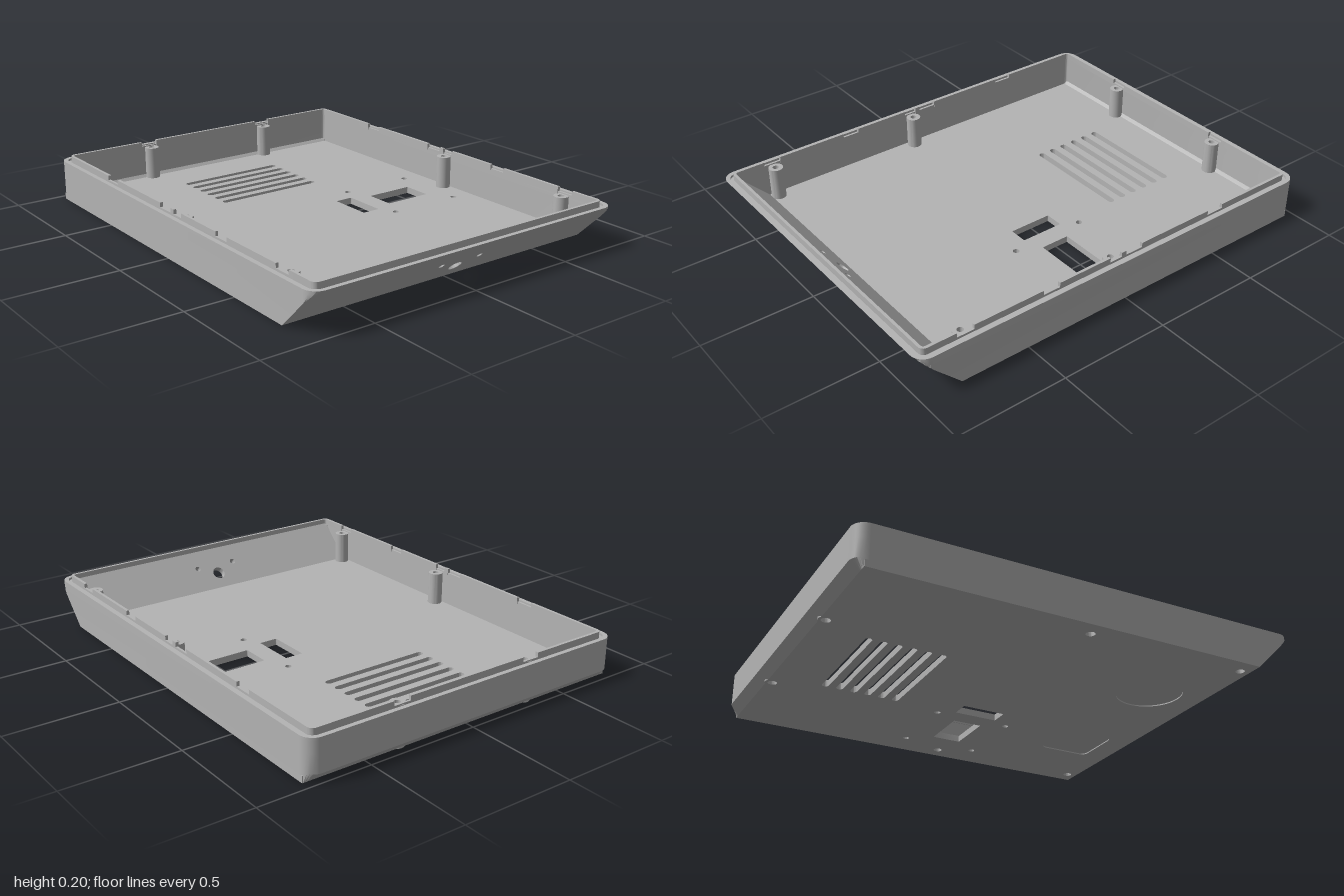
import * as THREE from 'three';
import { toCreasedNormals } from 'three/addons/utils/BufferGeometryUtils.js';

const CX = 0.94, CZ = 0.72;            // centres of the rounded corners
const RIM = 0.185, FLOOR = 0.03;       // rim height and floor thickness
const casing = new THREE.MeshStandardMaterial({ color: 0xb4b4b4, side: THREE.DoubleSide });
casing.name = 'casing grey';

function part(name, geometry, crease = 0.5) {
  const mesh = new THREE.Mesh(crease ? toCreasedNormals(geometry, crease) : geometry, casing);
  mesh.name = name;
  return mesh;
}

function arc(cx, cy, r, a0, a1, steps = 8) {
  return Array.from({ length: steps + 1 }, (_, i) => {
    const a = a0 + (a1 - a0) * i / steps;
    return new THREE.Vector2(cx + r * Math.cos(a), cy + r * Math.sin(a));
  });
}

// Closed outline of a rectangle with rounded corners
function rounded(cx, cy, hx, hy, r) {
  return [[1, 1], [-1, 1], [-1, -1], [1, -1]].flatMap(([sx, sy], k) =>
    arc(cx + sx * (hx - r), cy + sy * (hy - r), r, k * Math.PI / 2, (k + 1) * Math.PI / 2));
}

const circle = (x, y, r) => new THREE.Path().absarc(x, y, r, 0, Math.PI * 2);

// Horizontal slab from an outline in x and z
function slab(shape, y0, height) {
  return new THREE.ExtrudeGeometry(shape, { depth: height, bevelEnabled: false, curveSegments: 24 })
    .rotateX(Math.PI / 2).translate(0, y0 + height, 0);
}

// Walls: one loft up the outside, over the grooved rim and down the inside
function wallGeometry() {
  const rings = [];
  for (const y of [0, 0.04, 0.125, 0.14, 0.155, 0.17, RIM])
    rings.push({ side: 'outer', r: 0.06, y, lo: -0.96 - y, hi: 0.815 + y });
  for (const [r, y] of [[0.04, RIM], [0.04, 0.175], [0.025, 0.175], [0.025, RIM]])
    rings.push({ side: 'rim', r, y, lo: -2, hi: 2 });
  for (const y of [RIM, 0.17, 0.155, 0.043, FLOOR])
    rings.push({ side: 'inner', r: 0.015, y, lo: -0.912 - y, hi: 0.77 + y });

  const pos = [], index = [];
  for (const { r, y, lo, hi } of rings)
    for (const p of rounded(0, 0, CX + r, CZ + r, r))
      pos.push(THREE.MathUtils.clamp(p.x, lo, hi), y, p.y);
  const n = pos.length / 3 / rings.length;
  for (let i = 0; i < rings.length - 1; i++) {
    const sloped = rings[i].side !== 'rim' && rings[i].side === rings[i + 1].side;
    for (let j = 0; j < n; j++) {
      if (sloped && j === n - 1) continue;   // left open for the pierced sloping panel
      const a = i * n + j, b = i * n + (j + 1) % n;
      index.push(a, a + n, b, a + n, b + n, b);
    }
  }
  const g = new THREE.BufferGeometry();
  g.setAttribute('position', new THREE.Float32BufferAttribute(pos, 3));
  g.setIndex(index);
  return g;
}

// Sloping end panel: two faces joined by the bores of its three holes
function slopingPanel() {
  const group = new THREE.Group();
  group.name = 'slopingPanel';
  const d = 0.045 * Math.SQRT1_2;
  const holes = [[0, 0.089, 0.03], [-0.1, 0.134, 0.013], [0.1, 0.134, 0.013]];
  const face = (name, u0, u1, z) => {
    const s = new THREE.Shape([[-CZ, u0], [CZ, u0], [CZ, u1], [-CZ, u1]].map(p => new THREE.Vector2(...p)));
    s.holes = holes.map(h => circle(...h));
    group.add(part(name, new THREE.ShapeGeometry(s, 16).translate(0, 0, z), 0));
  };
  face('panelOuterFace', 0, RIM * Math.SQRT2, 0);
  face('panelInnerFace', 0.0105, (RIM - d * Math.SQRT1_2) * Math.SQRT2, -d);
  for (const [x, u, r] of holes)
    group.add(part('panelBore', new THREE.CylinderGeometry(r, r, d, 32, 1, true)
      .rotateX(Math.PI / 2).translate(x, u, -d / 2)));
  const k = Math.SQRT1_2;
  const m = new THREE.Matrix4().makeBasis(new THREE.Vector3(0, 0, -1),
    new THREE.Vector3(k, k, 0), new THREE.Vector3(k, -k, 0));
  group.quaternion.setFromRotationMatrix(m);
  group.position.set(0.815, 0, 0);
  return group;
}

const posts = [[0.03, -0.71], [0.77, -0.71], [0.03, 0.705], [0.77, 0.705], [-0.935, -0.33], [-0.935, 0.325]];

// Floor outline with vents, windows and screw holes
function floorShape(extra) {
  const s = new THREE.Shape([[-0.96, -0.78], [0.815, -0.78], [0.815, 0.78], [-0.96, 0.78]]
    .map(p => new THREE.Vector2(...p)));
  const cut = (...a) => s.holes.push(new THREE.Path(rounded(...a)));
  for (let i = 0; i < 6; i++) cut(-0.725 + i * 0.0656, 0, 0.015, 0.26, 0.0149);
  cut(0.007, -0.452, 0.067, 0.113, 0.003);
  cut(0.005, -0.208, 0.1, 0.042, 0.003);
  for (const x of [-0.17, 0.18]) for (const z of [-0.64, -0.29]) s.holes.push(circle(x, z, 0.014));
  for (const [x, z] of posts) s.holes.push(circle(x, z, 0.02));
  if (extra) {   // shallow recesses on the underside
    s.holes.push(circle(0.56, 0.34, 0.147));
    cut(0.58, -0.312, 0.123, 0.123, 0.03);
  }
  return s;
}

// Raised lip on the rim: corner pieces, then straight pieces
function lip() {
  const group = new THREE.Group();
  group.name = 'lip';
  const y0 = RIM - 0.01, h = 0.03, ro = 0.025, ri = 0.012;
  const V = (x, y) => new THREE.Vector2(x, y);
  const corner = (sx, sz, xEnd, zEnd) => {
    const outer = [V(CX + ro, zEnd), ...arc(CX, CZ, ro, 0, Math.PI / 2), V(xEnd, CZ + ro)];
    const inner = [V(CX + ri, zEnd), ...arc(CX, CZ, ri, 0, Math.PI / 2), V(xEnd, CZ + ri)];
    const pts = [...outer, ...inner.reverse()].map(p => V(p.x * sx, p.y * sz));
    group.add(part('lipCorner', slab(new THREE.Shape(pts), y0, h)));
  };
  const bar = (x0, x1, z0, z1) => group.add(part('lipBar',
    new THREE.BoxGeometry(x1 - x0, h, z1 - z0).translate((x0 + x1) / 2, y0 + h / 2, (z0 + z1) / 2), 0));
  for (const s of [-1, 1]) {
    corner(1, s, 0.81, 0);
    corner(-1, s, 0.57, 0.37);
    const z = s * (CZ + (ro + ri) / 2), t = (ro - ri) / 2;
    for (const [a, b] of [[-0.485, -0.11], [-0.025, 0], [0.06, 0.32], [0.4, 0.73]]) bar(a, b, z - t, z + t);
  }
  bar(-CX - ro, -CX - ri, -0.29, 0.29);
  return group;
}

export function createModel() {
  const model = new THREE.Group();
  model.name = 'enclosureBase';
  model.add(part('walls', wallGeometry()), slopingPanel(), lip());
  model.add(part('floorUnderside', slab(floorShape(true), 0, 0.005)));
  model.add(part('floor', slab(floorShape(false), 0.005, FLOOR - 0.005)));

  // Hollow screw posts, counterbored from below
  const profile = [[0.02, 0], [0.033, 0], [0.033, 0.18], [0.014, 0.18], [0.014, 0.02], [0.02, 0.02], [0.02, 0]]
    .map(p => new THREE.Vector2(...p));
  for (const [x, z] of posts)
    model.add(part('screwPost', new THREE.LatheGeometry(profile, 24).translate(x, 0, z)));
  return model;
}
